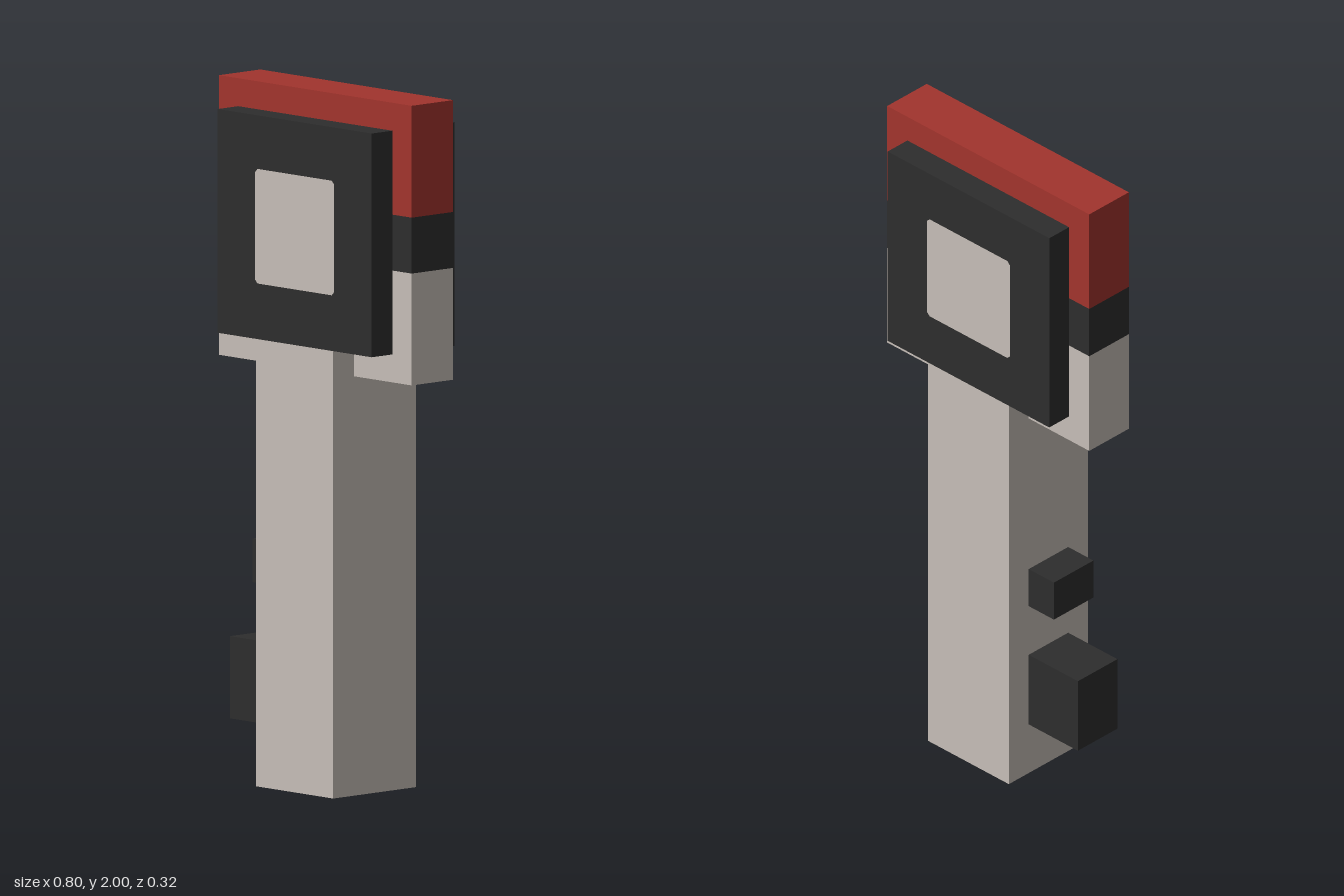
import * as THREE from 'three';

const material = (name, color) => {
  const m = new THREE.MeshStandardMaterial({ color });
  m.name = name;
  return m;
};

// Square outline with small corner radius, added to a Shape or Path
function square(path, half, cy, r = 0) {
  const a = half, b = half - r;
  path.moveTo(-b, cy - a);
  path.lineTo(b, cy - a);
  if (r) path.lineTo(a, cy - b);
  path.lineTo(a, cy + b);
  if (r) path.lineTo(b, cy + a);
  path.lineTo(-b, cy + a);
  if (r) path.lineTo(-a, cy + b);
  path.lineTo(-a, cy - b);
  path.closePath();
  return path;
}

export function createModel() {
  const group = new THREE.Group();
  const stone = material('pale stone', 0xc6beb7);
  const black = material('charcoal', 0x2d2d2d);
  const red = material('brick red', 0xa2342d);

  const add = (name, geometry, mat) => {
    const mesh = new THREE.Mesh(geometry, mat);
    mesh.name = name;
    group.add(mesh);
    return mesh;
  };
  // Box given by its x and y limits and its half depth
  const box = (name, mat, x0, x1, y0, y1, hz) =>
    add(name, new THREE.BoxGeometry(x1 - x0, y1 - y0, 2 * hz), mat)
      .position.set((x0 + x1) / 2, (y0 + y1) / 2, 0);

  // Shaft
  box('shaft', stone, -0.16, 0.16, 0, 1.28, 0.16);

  // Teeth on the right side
  box('largeTooth', black, -0.355, -0.16, 0.165, 0.4, 0.08);
  box('smallTooth', black, -0.26, -0.16, 0.565, 0.69, 0.08);

  // Head in three colour bands
  box('headLower', stone, -0.4, 0.4, 1.2, 1.52, 0.08);
  box('headBand', black, -0.4, 0.4, 1.52, 1.68, 0.08);
  box('headTop', red, -0.4, 0.4, 1.68, 2, 0.08);

  // Raised square frame and flush inlay on both faces of the head
  const frame = square(new THREE.Shape(), 0.32, 1.6);
  frame.holes.push(square(new THREE.Path(), 0.164, 1.603, 0.01));
  const inlay = square(new THREE.Shape(), 0.164, 1.603, 0.01);
  const extrude = { depth: 0.08, bevelEnabled: false };
  for (const [side, z] of [['front', 0.08], ['back', -0.16]]) {
    add(side + 'Frame', new THREE.ExtrudeGeometry(frame, extrude), black).position.z = z;
    add(side + 'Inlay', new THREE.ExtrudeGeometry(inlay, extrude), stone).position.z = z;
  }

  return group;
}
